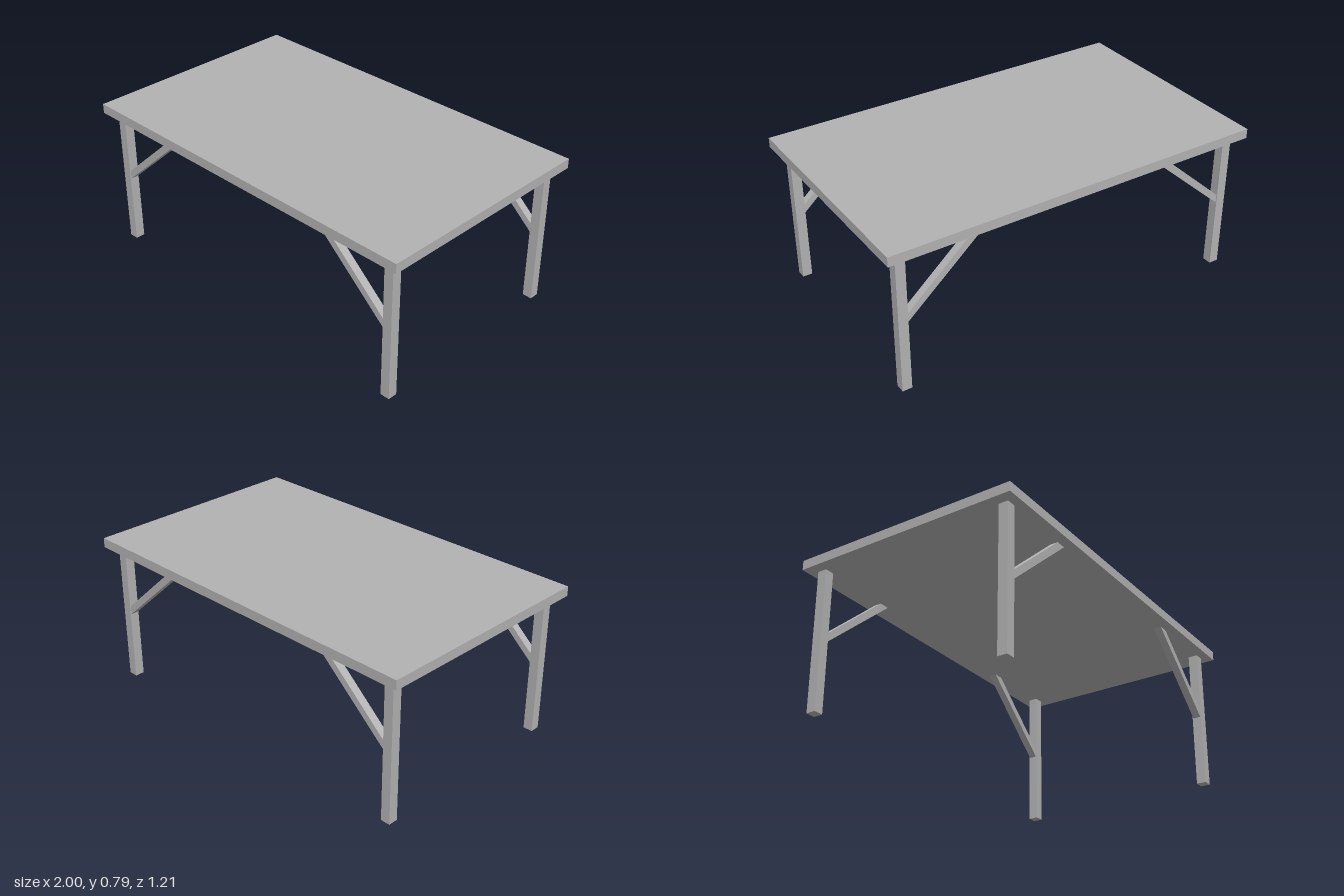
import * as THREE from 'three';

export function createModel() {
  const model = new THREE.Group();
  model.name = 'table';
  const grey = new THREE.MeshStandardMaterial({ color: 0xb2b2b2 });
  grey.name = 'grey';

  const add = (name, geometry, x, y, z) => {
    const mesh = new THREE.Mesh(geometry, grey);
    mesh.name = name;
    mesh.position.set(x, y, z);
    model.add(mesh);
  };

  const under = 0.74; // underside of the top
  const legX = 0.918, legZ = 0.529, legSize = 0.05;
  const braceDepth = 0.04;

  // Table top
  add('tableTop', new THREE.BoxGeometry(2, 0.05, 1.206), 0, under + 0.025, 0);

  const legGeometry = new THREE.BoxGeometry(legSize, under, legSize);

  // Diagonal brace, mitred against the leg and the top
  const braceGeometry = (side) => {
    const inner = legX - legSize / 2;
    const outline = [[inner, 0.372], [inner, 0.418], [0.533, under], [0.478, under]];
    const shape = new THREE.Shape(outline.map(([x, y]) => new THREE.Vector2(side * x, y)));
    const geometry = new THREE.ExtrudeGeometry(shape, { depth: braceDepth, bevelEnabled: false });
    return geometry.translate(0, 0, -braceDepth / 2);
  };

  // One leg and one brace at each corner
  for (const side of [1, -1]) {
    const brace = braceGeometry(side);
    for (const end of [1, -1]) {
      const corner = (end > 0 ? 'front' : 'back') + (side > 0 ? 'Left' : 'Right');
      add(corner + 'Leg', legGeometry, side * legX, under / 2, end * legZ);
      add(corner + 'Brace', brace, 0, 0, end * legZ);
    }
  }
  return model;
}
